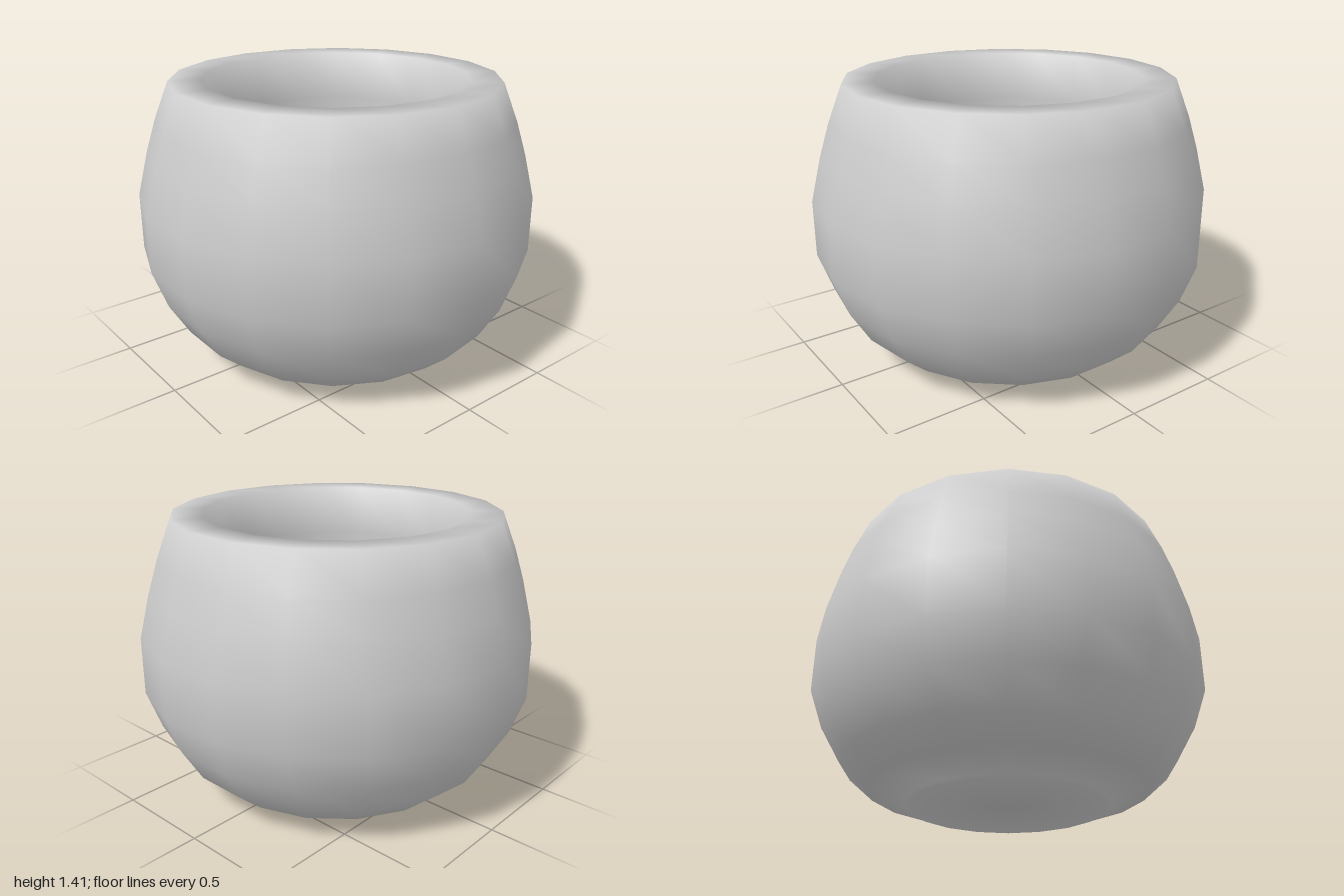
import * as THREE from 'three';

export function createModel() {
  const group = new THREE.Group();
  group.name = 'bowl';
  const SIDES = 18;

  // Profile as [radius, height], from the middle of the foot to the middle of the hollow
  const profile = [
    // foot and outer wall
    [0, 0], [0.495, 0], [0.495, 0.02], [0.7, 0.075], [0.83, 0.19], [0.93, 0.36],
    [1, 0.555], [1, 0.84], [0.945, 1.06], [0.895, 1.22], [0.82, 1.41],
    // flat rim and rounded hollow
    [0.665, 1.41], [0.66, 1.15], [0.65, 0.9], [0.62, 0.68], [0.56, 0.48],
    [0.46, 0.32], [0.32, 0.21], [0.16, 0.16], [0, 0.15],
  ].map(([r, y]) => new THREE.Vector2(r, y));

  // Corners lie on the x axis
  const geometry = new THREE.LatheGeometry(profile, SIDES, Math.PI / 2);

  // Soft shading: each ring's normal is the even average of its two neighbouring bands
  const bands = profile.slice(1).map((p, i) => {
    const d = p.clone().sub(profile[i]).normalize();
    return new THREE.Vector2(d.y, -d.x);
  });
  const normals = geometry.attributes.normal;
  for (let i = 0; i <= SIDES; i++) {
    const angle = Math.PI / 2 + (i / SIDES) * Math.PI * 2;
    profile.forEach((_, j) => {
      const n = bands[Math.max(j - 1, 0)].clone().add(bands[Math.min(j, bands.length - 1)]).normalize();
      normals.setXYZ(i * profile.length + j, n.x * Math.sin(angle), n.y, n.x * Math.cos(angle));
    });
  }

  const shell = new THREE.Mesh(geometry, new THREE.MeshStandardMaterial({ color: 0xcccccc }));
  shell.name = 'bowlShell';
  group.add(shell);
  return group;
}
